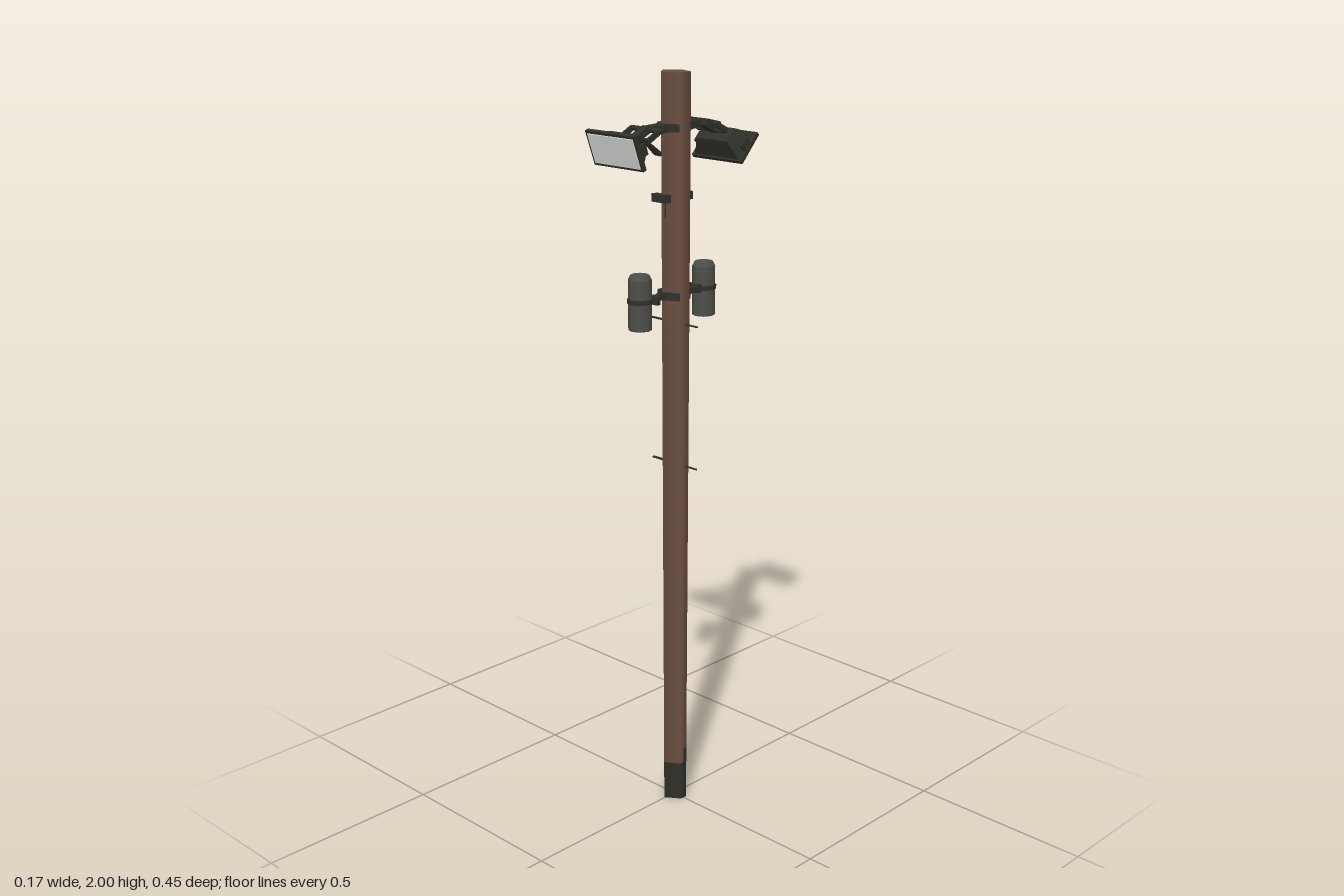
import * as THREE from 'three';

const mat = (name, color) => Object.assign(new THREE.MeshStandardMaterial({ color }), { name });

// Pole cross-sections (x, z) at the ground and at the top, starting at -x
const LOW = [[-0.037, 0], [-0.002, 0.037], [0.037, 0.01], [0.037, -0.01], [-0.002, -0.038]];
const HIGH = [[-0.041, -0.002], [-0.01, 0.036], [0.039, 0.02], [0.039, -0.02], [-0.008, -0.038]];
const lerp = THREE.MathUtils.lerp;
const corner = (k, y) => [0, 1].map((i) => lerp(LOW[k % 5][i], HIGH[k % 5][i], y / 2));

// Five-sided pole section between two heights
function poleSection(y0, y1) {
  const start = -Math.PI / 2;
  const g = new THREE.CylinderGeometry(1, 1, y1 - y0, 5, 1, false, start).translate(0, (y0 + y1) / 2, 0);
  const p = g.attributes.position;
  for (let i = 0; i < p.count; i++) {
    const x = p.getX(i), y = p.getY(i), z = p.getZ(i);
    if (Math.hypot(x, z) < 0.5) continue;
    const k = Math.round((Math.atan2(x, z) - start) / (Math.PI * 0.4) + 5) % 5;
    const [cx, cz] = corner(k, y);
    p.setXYZ(i, cx, y, cz);
  }
  return g;
}

// Thin patch lying on pole side k, between fractions u0..u1 of its width
function polePatch(k, u0, u1, y0, y1) {
  const g = new THREE.PlaneGeometry(1, 1);
  const p = g.attributes.position;
  for (let i = 0; i < 4; i++) {
    const u = p.getX(i) < 0 ? u0 : u1;
    const y = p.getY(i) < 0 ? y0 : y1;
    const a = corner(k, y), b = corner(k + 1, y);
    p.setXYZ(i, lerp(a[0], b[0], u) * 1.03, y, lerp(a[1], b[1], u) * 1.03);
  }
  g.computeVertexNormals();
  return g;
}

export function createModel() {
  const rust = mat('rustyBrown', 0x6c4f41);
  const tar = mat('tarredBase', 0x31312b);
  const metal = mat('darkMetal', 0x30312a);
  const grey = mat('greyMetal', 0x4e4f49);
  const glass = mat('lampGlass', 0xe4e6e2);

  const root = new THREE.Group();
  const add = (parent, name, geo, m, x = 0, y = 0, z = 0) => {
    const mesh = new THREE.Mesh(geo, m);
    mesh.name = name;
    mesh.position.set(x, y, z);
    parent.add(mesh);
    return mesh;
  };
  const box = (w, h, d) => new THREE.BoxGeometry(w, h, d);
  const faceted = (geo) => {
    const g = geo.toNonIndexed();
    g.computeVertexNormals();
    return g;
  };
  // Box whose -z end is scaled in width and height
  const taperedBox = (w, h, d, sx, sy) => {
    const g = box(w, h, d);
    const p = g.attributes.position;
    for (let i = 0; i < p.count; i++) {
      if (p.getZ(i) < 0) p.setXY(i, p.getX(i) * sx, p.getY(i) * sy);
    }
    g.computeVertexNormals();
    return g;
  };
  // Straight bar between two (y, z) points
  const bar = (parent, name, w, h, y0, z0, y1, z1) => {
    const mesh = add(parent, name, box(w, h, Math.hypot(y1 - y0, z1 - z0)), metal, 0, (y0 + y1) / 2, (z0 + z1) / 2);
    mesh.rotation.x = -Math.atan2(y1 - y0, z1 - z0);
    return mesh;
  };

  // Pole with a dark foot that rises higher at the rear
  add(root, 'pole', poleSection(0.11, 2), rust);
  add(root, 'poleFoot', poleSection(0, 0.11), tar);
  const stains = [
    [2, 0.4, 1, 0.11, 0.155], [3, 0, 1, 0.11, 0.165], [4, 0, 1, 0.11, 0.165],
    [3, 0.5, 1, 1.52, 1.86], [3, 0.65, 1, 1.37, 1.52],
    [4, 0, 0.45, 1.4, 1.86], [4, 0, 0.2, 1.34, 1.4],
    [1, 0.17, 0.25, 1.64, 1.69],
  ];
  for (const s of stains) add(root, 'stain', polePatch(...s), tar);

  // Clamp rings and the small strap between them
  for (const y of [1.865, 1.44]) {
    add(root, 'clampRing', faceted(new THREE.CylinderGeometry(0.044, 0.044, 0.02, 6)), metal, 0, y, 0);
    for (const s of [-1, 1]) add(root, 'clampLug', box(0.024, 0.016, 0.012), metal, 0, y, s * 0.045);
  }
  for (const s of [-1, 1]) add(root, 'strapPlate', box(0.05, 0.02, 0.02), metal, -0.006, 1.69, s * 0.04);

  // Climbing pegs
  for (const y of [1.365, 0.982]) {
    for (const s of [-1, 1]) {
      add(root, 'climbingPeg', box(0.048, 0.004, s < 0 ? 0.006 : 0.003), metal, s * 0.056, y, -0.003);
    }
  }

  // Floodlight facing +z, origin at the centre of its glass
  const floodlight = (tilt) => {
    const g = new THREE.Group();
    g.name = 'floodlight';
    add(g, 'lampHousing', taperedBox(0.152, 0.084, 0.046, 0.7, 0.5), metal, 0, 0, -0.033);
    add(g, 'lampRim', box(0.17, 0.092, 0.011), metal, 0, 0, -0.006);
    add(g, 'lampGlass', box(0.156, 0.078, 0.003), glass, 0, 0, 0.0005);
    for (const s of [-1, 1]) add(g, 'lampHinge', box(0.006, 0.03, 0.03), metal, s * 0.079, 0, -0.018);
    g.rotation.x = tilt;
    return g;
  };

  // Canister: straight drum with a short bevelled cap
  const drum = new THREE.CylinderGeometry(0.03, 0.03, 0.13, 8);
  const cap = new THREE.CylinderGeometry(0.024, 0.03, 0.012, 8);
  const band = faceted(new THREE.CylinderGeometry(0.033, 0.033, 0.012, 8));

  for (const front of [true, false]) {
    const side = new THREE.Group();
    side.name = front ? 'frontFittings' : 'rearFittings';
    side.rotation.y = front ? 0 : Math.PI;
    root.add(side);

    // Floodlight on a bent arm with a yoke
    const lamp = floodlight(front ? 0.35 : 0.74);
    lamp.position.set(0, front ? 1.825 : 1.796, front ? 0.208 : 0.193);
    side.add(lamp);
    const neck = add(side, 'lampArm', taperedBox(0.022, 0.014, 0.062, 1.9, 1.4), metal, 0, 1.866, 0.072);
    neck.rotation.x = -0.04;
    bar(side, 'lampArmBend', front ? 0.022 : 0.03, 0.018, 1.868, 0.095, 1.843, 0.15);
    add(side, 'yokePivot', faceted(new THREE.CylinderGeometry(0.007, 0.007, 0.108, 6).rotateZ(Math.PI / 2)),
      metal, 0, 1.866, front ? 0.095 : 0.104);
    for (const s of [-1, 1]) {
      bar(side, 'yokeSide', 0.006, 0.014, 1.866, 0.1, 1.845, 0.142).position.x = s * 0.048;
    }
    bar(side, 'yokeBack', 0.1, 0.014, 1.848, 0.137, 1.844, 0.144);
    if (front) {
      const brace = add(side, 'brace', taperedBox(0.016, 0.004, 0.075, 1.3, 2.5), metal, -0.004, 1.82, 0.075);
      brace.rotation.set(-0.58, 0.2, 0);
    } else {
      bar(side, 'yokeCover', 0.076, 0.016, 1.872, 0.08, 1.86, 0.13);
    }

    // Canister on a short arm
    const x = front ? -0.006 : 0.006;
    add(side, 'canisterDrum', drum, grey, x, 1.43, 0.117);
    add(side, 'canisterCap', cap, grey, x, 1.501, 0.117);
    add(side, 'canisterBand', band, metal, x, 1.44, 0.117);
    bar(side, 'canisterArm', 0.018, 0.014, 1.44, 0.04, 1.44, 0.09);
    add(side, 'canisterBracket', box(0.04, 0.022, 0.012), metal, 0.01, 1.44, 0.086);
  }
  return root;
}
